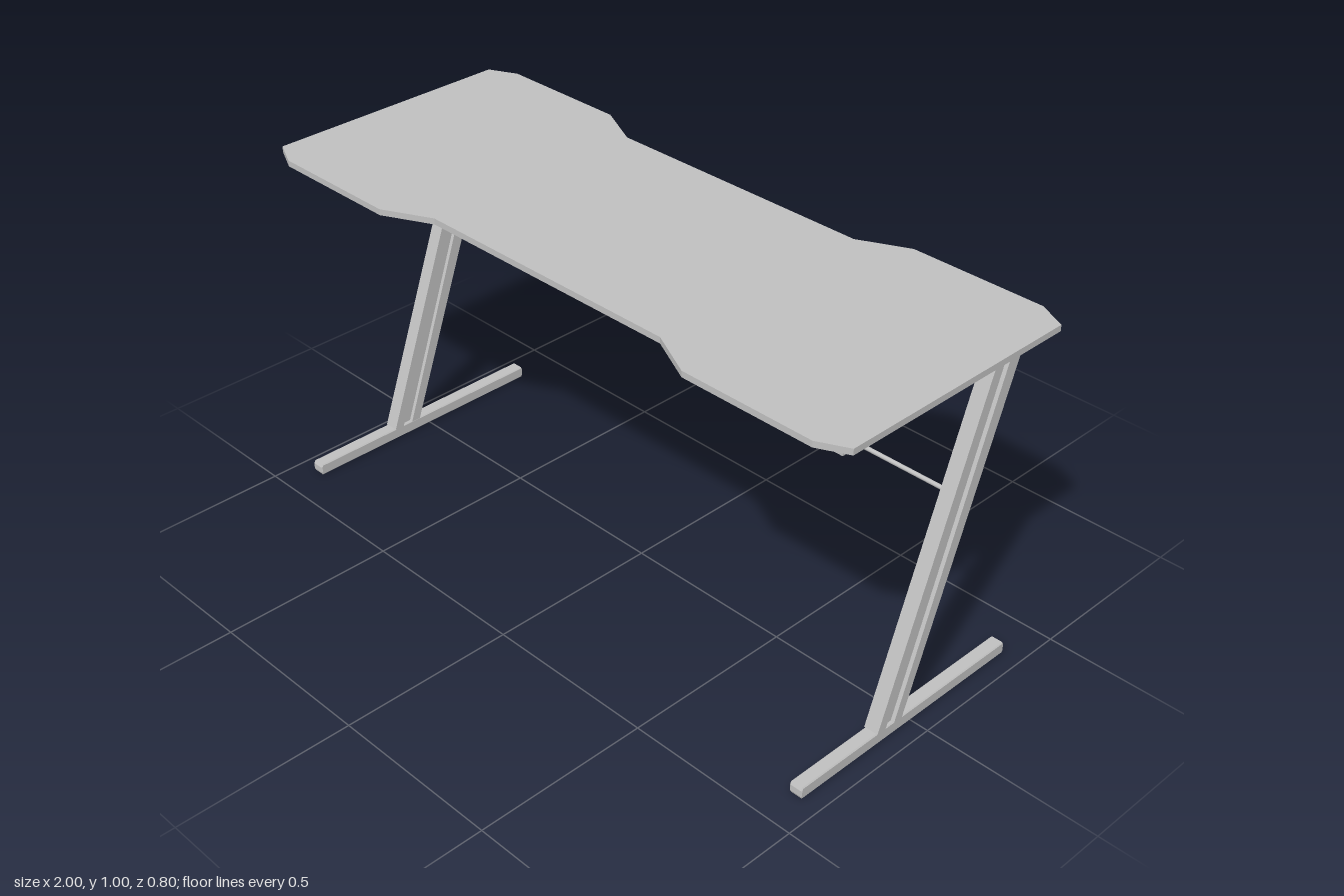
import * as THREE from 'three';

const grey = new THREE.MeshStandardMaterial({ color: 0xc0c0c0 });
grey.name = 'grey';

const toShape = (pts) => new THREE.Shape(pts.map(([a, b]) => new THREE.Vector2(a, b)));

function part(name, geometry) {
  const mesh = new THREE.Mesh(geometry, grey);
  mesh.name = name;
  return mesh;
}

// Side profile given as [z, y], extruded to a width centred on x = 0
function sidePlate(name, pts, width, bevel = 0) {
  const g = new THREE.ExtrudeGeometry(toShape(pts), {
    depth: width - 2 * bevel, bevelEnabled: bevel > 0, bevelSize: bevel,
    bevelOffset: -bevel, bevelThickness: bevel, bevelSegments: 1,
  });
  g.translate(0, 0, -(width - 2 * bevel) / 2);
  g.rotateY(-Math.PI / 2);
  return part(name, g);
}

// Lines of the bent frame, inner to outer: foot z, knee z, knee y
const rails = [
  [0.13, -0.203, 0.942],
  [0.1, -0.235, 0.957],
  [0.068, -0.266, 0.969],
  [0.039, -0.295, 0.983],
];
const footTop = 0.033;
const barFront = 0.33;

function band(name, i, width) {
  const [fa, ka, ya] = rails[i];
  const [fb, kb, yb] = rails[i + 1];
  const pts = [[fa, footTop], [ka, ya], [barFront, ya], [barFront, yb], [kb, yb]];
  // the outermost rail stands upright at the knee
  if (i === 2) pts.push([kb, 0.94]);
  pts.push([fb, footTop]);
  return sidePlate(name, pts, width);
}

function makeLeg(name, x) {
  const leg = new THREE.Group();
  leg.name = name;
  // two rails with a recessed web forming the groove on each side
  leg.add(band('innerRail', 0, 0.042));
  leg.add(band('grooveWeb', 1, 0.02));
  leg.add(band('outerRail', 2, 0.042));
  // foot with softened ends
  const f = 0.4, b = -0.37, h = 0.034, c = 0.008, e = 0.004;
  leg.add(sidePlate('foot', [
    [f - e, 0], [f, c], [f, h - c], [f - e, h],
    [b + e, h], [b, h - c], [b, c], [b + e, 0],
  ], 0.038, 0.003));
  leg.position.x = x;
  return leg;
}

function makeTop() {
  // right half outline from the back notch to the front notch as [x, z]
  const half = [
    [0.4, -0.336], [0.535, -0.402], [0.92, -0.402], [1, -0.363],
    [1, 0.359], [0.92, 0.398], [0.535, 0.398], [0.4, 0.331],
  ];
  const outline = [...half, ...half.map(([x, z]) => [-x, z]).reverse()];
  const g = new THREE.ExtrudeGeometry(toShape(outline.map(([x, z]) => [x, -z])), {
    depth: 0.017, bevelEnabled: false,
  });
  g.rotateX(-Math.PI / 2);
  g.translate(0, 0.983, 0);
  return part('tabletop', g);
}

export function createModel() {
  const desk = new THREE.Group();
  desk.name = 'desk';
  desk.add(makeTop());
  desk.add(makeLeg('leftLeg', 0.927), makeLeg('rightLeg', -0.927));

  // thin rod joining the legs
  const rod = part('crossRod', new THREE.CylinderGeometry(0.006, 0.006, 1.84, 12));
  rod.rotation.z = Math.PI / 2;
  rod.position.set(0, 0.605, -0.124);
  desk.add(rod);
  return desk;
}
